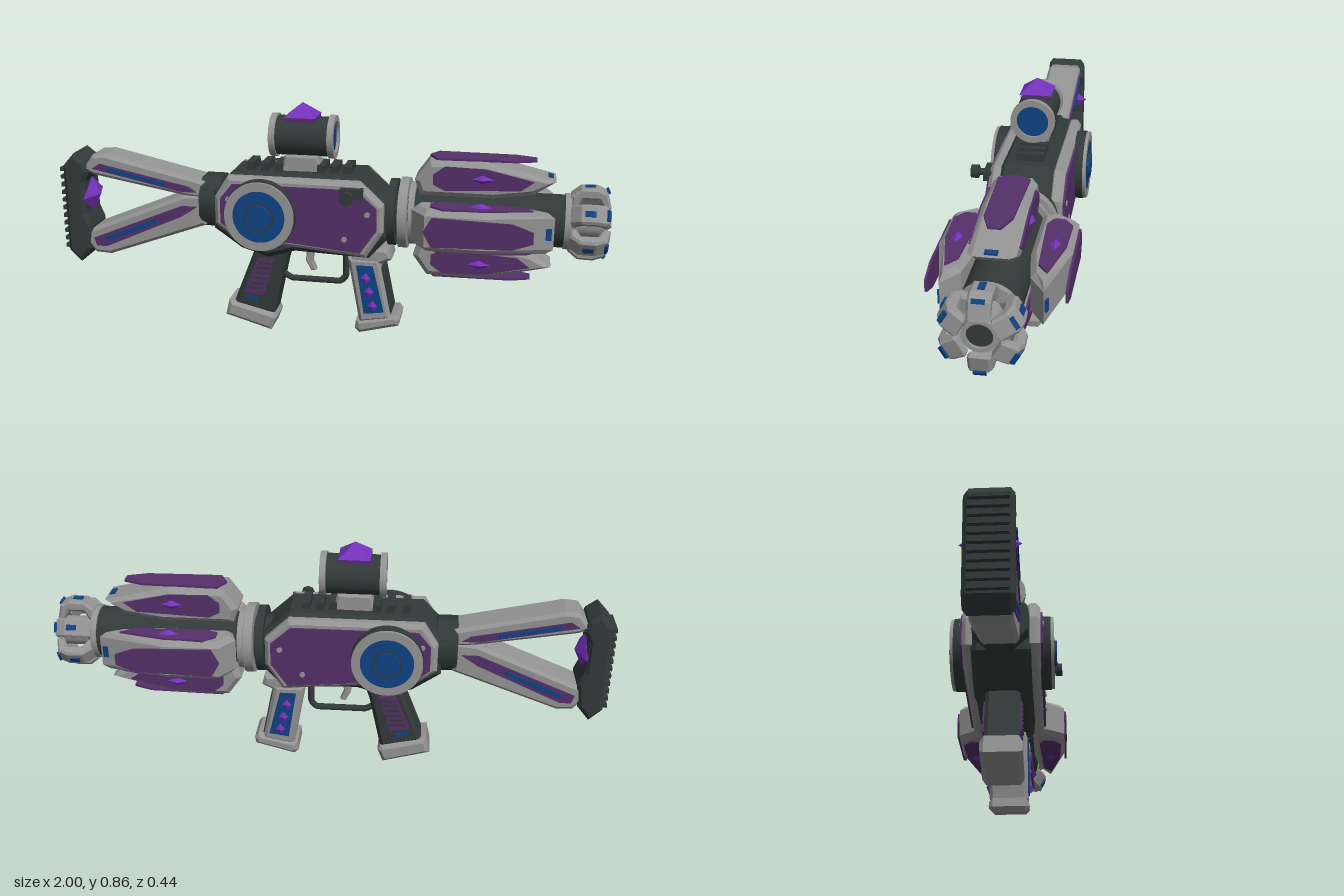
import * as THREE from 'three';

const paint = (name, color) => { const m = new THREE.MeshStandardMaterial({ color }); m.name = name; return m; };

export function createModel() {
  const gray = paint('light metal', 0x949494), dark = paint('dark metal', 0x323a39);
  const purple = paint('purple panel', 0x55306a), blue = paint('blue glow', 0x0f4284), crystal = paint('crystal', 0x7632bd);
  const root = new THREE.Group();
  root.name = 'blaster';
  const AXIS = 0.475;

  function add(name, geo, mat, x = 0, y = 0, z = 0, parent = root) {
    const m = new THREE.Mesh(geo, mat);
    m.name = name;
    m.position.set(x, y, z);
    parent.add(m);
    return m;
  }
  // Bevelled slab: an outline in x,y with a thickness centred on z
  function slab(pts, depth, bevel = 0) {
    const shape = new THREE.Shape(pts.map(p => new THREE.Vector2(p[0], p[1])));
    const g = new THREE.ExtrudeGeometry(shape, {
      depth: depth - 2 * bevel, bevelEnabled: bevel > 0, bevelThickness: bevel, bevelSize: bevel, bevelOffset: -bevel, bevelSegments: 1,
    });
    return g.translate(0, 0, -depth / 2 + bevel);
  }
  // Ring with its axis on z
  function ring(ro, ri, depth) {
    const s = new THREE.Shape().absarc(0, 0, ro, 0, Math.PI * 2);
    s.holes.push(new THREE.Path().absarc(0, 0, ri, 0, Math.PI * 2, true));
    return new THREE.ExtrudeGeometry(s, { depth, bevelEnabled: false, curveSegments: 40 }).translate(0, 0, -depth / 2);
  }
  const ringX = (ro, ri, depth) => ring(ro, ri, depth).rotateY(Math.PI / 2);
  const rodX = (r, len, seg = 40) => new THREE.CylinderGeometry(r, r, len, seg).rotateZ(-Math.PI / 2);
  const rodZ = (r, len, seg = 40) => new THREE.CylinderGeometry(r, r, len, seg).rotateX(Math.PI / 2);
  const gem = (x, y, z) => {
    const g = new THREE.OctahedronGeometry(1).scale(x, y, z);
    g.computeVertexNormals();
    return g;
  };
  const box = (x, y, z) => new THREE.BoxGeometry(x, y, z);
  const bothSides = fn => [1, -1].forEach(fn);

  // Stock: butt plate, ribs and two struts
  add('buttPlate', slab([[-0.985, 0.27], [-0.94, 0.225], [-0.895, 0.28], [-0.885, 0.37], [-0.905, 0.42], [-0.905, 0.54],
    [-0.885, 0.58], [-0.9, 0.62], [-0.94, 0.65], [-0.985, 0.6]], 0.15, 0.014), dark);
  for (let i = 0; i < 11; i++) add('buttRib', box(0.03, 0.014, 0.12), dark, -0.985, 0.285 + i * 0.03, 0);
  add('buttCrystal', gem(0.032, 0.068, 0.092), crystal, -0.902, 0.48, 0);
  add('upperStrut', slab([[-0.91, 0.59], [-0.87, 0.645], [-0.82, 0.65], [-0.44, 0.565], [-0.44, 0.5], [-0.5, 0.505], [-0.87, 0.57]], 0.13, 0.012), gray);
  add('lowerStrut', slab([[-0.91, 0.35], [-0.52, 0.51], [-0.44, 0.515], [-0.44, 0.4], [-0.82, 0.262], [-0.88, 0.265], [-0.91, 0.3]], 0.13, 0.012), gray);
  bothSides(s => {
    add('upperStrutPanel', slab([[-0.87, 0.595], [-0.84, 0.615], [-0.5, 0.545], [-0.47, 0.525], [-0.53, 0.525]], 0.008), purple, 0, 0, s * 0.066);
    add('lowerStrutPanel', slab([[-0.88, 0.325], [-0.53, 0.47], [-0.47, 0.47], [-0.53, 0.43], [-0.83, 0.295], [-0.87, 0.295]], 0.008), purple, 0, 0, s * 0.066);
    add('upperStrutLight', box(0.22, 0.014, 0.008), blue, -0.7, 0.573, s * 0.071).rotation.z = -0.2;
    add('lowerStrutLight', box(0.22, 0.016, 0.008), blue, -0.73, 0.365, s * 0.071).rotation.z = 0.4;
  });

  // Receiver
  add('stockCollar', rodX(0.1, 0.075, 8).rotateX(Math.PI / 8), dark, -0.417, 0.485, 0);
  add('receiverBody', slab([[-0.4, 0.54], [-0.33, 0.615], [0.14, 0.62], [0.24, 0.53], [0.24, 0.4], [0.17, 0.32], [-0.1, 0.33],
    [-0.2, 0.3], [-0.3, 0.33], [-0.4, 0.4]], 0.2, 0.02), dark);
  bothSides(s => {
    add('sideFrame', slab([[-0.385, 0.53], [-0.335, 0.61], [0.14, 0.61], [0.225, 0.53], [0.225, 0.43], [0.165, 0.335], [-0.12, 0.36],
      [-0.3, 0.37], [-0.385, 0.43]], 0.05, 0.014), gray, 0, 0, s * 0.107);
    add('sidePanel', slab([[-0.36, 0.53], [-0.315, 0.585], [0.13, 0.585], [0.203, 0.52], [0.203, 0.44], [0.145, 0.355], [-0.12, 0.38],
      [-0.3, 0.39], [-0.36, 0.44]], 0.009), purple, 0, 0, s * 0.135);
    for (const [x, y] of [[0.09, 0.405], [-0.33, 0.53], [0.17, 0.5]]) add('panelBolt', rodZ(0.01, 0.01, 12), gray, x, y, s * 0.139);
    // Round energy cell
    add('cellHousing', rodZ(0.128, 0.035), dark, -0.21, 0.48, s * 0.148);
    add('cellRim', ring(0.125, 0.094, 0.014), gray, -0.21, 0.48, s * 0.17);
    add('cellDisc', rodZ(0.095, 0.012), blue, -0.21, 0.48, s * 0.17);
    add('cellInnerRing', ring(0.054, 0.048, 0.006), dark, -0.21, 0.48, s * 0.176);
    add('cellHub', rodZ(0.044, 0.016), blue, -0.21, 0.48, s * 0.178);
  });
  for (const x of [-0.27, -0.215, -0.165, -0.01, 0.035, 0.085]) add('railTooth', box(0.028, 0.04, 0.1), dark, x, 0.625, 0);
  // Charging handle on the front side
  add('handleBase', box(0.08, 0.035, 0.03), dark, 0.115, 0.575, 0.14);
  add('handleStem', rodZ(0.013, 0.07, 12), dark, 0.105, 0.57, 0.16);
  add('handleKnob', rodZ(0.025, 0.026, 8), dark, 0.105, 0.57, 0.192);

  // Scope
  add('scopeMount', slab([[-0.16, 0.61], [-0.145, 0.675], [-0.025, 0.675], [-0.01, 0.61]], 0.08, 0.008), gray, 0, 0, 0);
  add('scopeTube', rodX(0.071, 0.2), dark, -0.08, 0.74, 0);
  bothSides(s => {
    add('scopeRim', ringX(0.078, 0.056, 0.022), gray, -0.08 + s * 0.105, 0.74, 0);
    add('scopeLens', rodX(0.057, 0.01), blue, -0.08 + s * 0.102, 0.74, 0);
  });
  const pyramid = new THREE.ConeGeometry(0.08, 0.047, 4, 1).toNonIndexed().rotateY(Math.PI / 4);
  pyramid.computeVertexNormals();
  add('scopeCrystal', pyramid, crystal, -0.085, 0.8375, 0);
  add('scopeCrystalBase', box(0.113, 0.03, 0.09), purple, -0.085, 0.8, 0);

  // Neck and barrel core
  add('neckRod', rodX(0.085, 0.14), dark, 0.28, AXIS, 0);
  add('neckDisc', rodX(0.12, 0.028), dark, 0.248, AXIS, 0);
  add('neckRing', rodX(0.127, 0.032), gray, 0.288, AXIS, 0);
  add('neckSmallRing', rodX(0.112, 0.02), gray, 0.318, AXIS, 0);
  add('barrelCore', rodX(0.093, 0.53), dark, 0.585, AXIS, 0);
  add('barrelEndRing', rodX(0.098, 0.022), gray, 0.855, AXIS, 0);

  // Four armoured fins around the barrel
  for (let k = 0; k < 4; k++) {
    const fin = new THREE.Group();
    fin.name = 'barrelFin';
    fin.position.y = AXIS;
    fin.rotation.x = k * Math.PI / 2;
    root.add(fin);
    add('finShell', slab([[0.345, 0.085], [0.325, 0.14], [0.375, 0.21], [0.57, 0.212], [0.808, 0.155], [0.735, 0.105], [0.6, 0.085]], 0.146, 0.018), gray, 0, 0, 0, fin);
    add('finTopPanel', slab([[0.372, 0], [0.4, 0.052], [0.67, 0.045], [0.74, 0.02], [0.74, -0.02], [0.67, -0.045], [0.4, -0.052]], 0.008)
      .rotateX(-Math.PI / 2), purple, 0, 0.215, 0, fin);
    add('finTipLight', box(0.018, 0.007, 0.04), blue, 0.79, 0.162, 0, fin).rotation.z = -0.24;
    bothSides(s => {
      add('finSidePanel', slab([[0.39, 0.13], [0.39, 0.165], [0.43, 0.195], [0.57, 0.192], [0.735, 0.155], [0.69, 0.122], [0.43, 0.11]], 0.008), purple, 0, 0, s * 0.075, fin);
      add('finCrystal', gem(0.045, 0.02, 0.018), crystal, 0.56, 0.155, s * 0.076, fin);
    });
  }

  // Muzzle with six claws
  add('muzzleTube', ringX(0.053, 0.04, 0.13), gray, 0.915, AXIS, 0);
  add('muzzleBore', rodX(0.041, 0.11), dark, 0.915, AXIS, 0);
  for (let k = 0; k < 6; k++) {
    const claw = new THREE.Group();
    claw.name = 'muzzleClaw';
    claw.position.y = AXIS;
    claw.rotation.x = k * Math.PI / 3;
    root.add(claw);
    add('clawShell', slab([[0.862, 0.06], [0.862, 0.1], [0.895, 0.128], [0.95, 0.13], [0.985, 0.115], [1, 0.06], [0.975, 0.055],
      [0.955, 0.09], [0.9, 0.09], [0.885, 0.06]], 0.07, 0.008), gray, 0, 0, 0, claw);
    add('clawLight', box(0.008, 0.014, 0.038), blue, 0.986, 0.118, 0, claw).rotation.z = 0.5;
    add('clawTopLight', box(0.035, 0.008, 0.02), blue, 0.925, 0.13, 0, claw);
  }

  // Rear grip
  add('rearGrip', slab([[-0.25, 0.34], [-0.12, 0.34], [-0.145, 0.27], [-0.19, 0.06], [-0.345, 0.095]], 0.12, 0.014), dark);
  add('rearGripFoot', slab([[-0.36, 0.112], [-0.19, 0.068], [-0.18, 0.05], [-0.2, 0.0], [-0.375, 0.05]], 0.14, 0.014), gray);
  bothSides(s => {
    add('rearGripPanel', slab([[-0.245, 0.285], [-0.18, 0.285], [-0.225, 0.14], [-0.3, 0.15]], 0.008), purple, 0, 0, s * 0.062);
    for (let i = 0; i < 6; i++) add('gripRib', box(0.055, 0.007, 0.008), dark, -0.255 + i * 0.008, 0.168 + i * 0.02, s * 0.065);
    add('rearGripLight', box(0.05, 0.012, 0.008), blue, -0.27, 0.125, s * 0.062).rotation.z = -0.25;
  });

  // Front grip
  add('frontGripBracket', slab([[0.09, 0.3], [0.13, 0.35], [0.24, 0.35], [0.25, 0.31], [0.2, 0.285]], 0.13, 0.012), gray);
  add('frontGrip', slab([[0.09, 0.31], [0.205, 0.31], [0.252, 0.08], [0.135, 0.06]], 0.14, 0.012), gray);
  add('frontGripFace', box(0.009, 0.18, 0.11), dark, 0.23, 0.188, 0).rotation.z = 0.202;
  add('frontGripFoot', slab([[0.122, 0.068], [0.27, 0.1], [0.284, 0.082], [0.28, 0.056], [0.135, 0.018], [0.118, 0.035]], 0.145, 0.014), gray);
  bothSides(s => {
    add('frontGripPanel', slab([[0.123, 0.285], [0.183, 0.285], [0.226, 0.11], [0.153, 0.1]], 0.008), blue, 0, 0, s * 0.071);
    for (let i = 0; i < 3; i++) add('gripCrystal', gem(0.026, 0.032, 0.014), crystal, 0.158 + i * 0.013, 0.237 - i * 0.053, s * 0.071);
  });

  // Trigger and guard
  const path = new THREE.CurvePath();
  const pts = [[-0.17, 0.215], [-0.13, 0.193], [0.055, 0.193], [0.075, 0.215], [0.075, 0.335]].map(p => new THREE.Vector3(p[0], p[1], 0));
  for (let i = 1; i < pts.length; i++) path.add(new THREE.LineCurve3(pts[i - 1], pts[i]));
  add('triggerGuard', new THREE.TubeGeometry(path, 40, 0.012, 8), dark);
  add('trigger', slab([[-0.07, 0.33], [-0.04, 0.33], [-0.05, 0.27], [-0.035, 0.235], [-0.055, 0.232], [-0.075, 0.27]], 0.03, 0.004), gray);

  return root;
}
